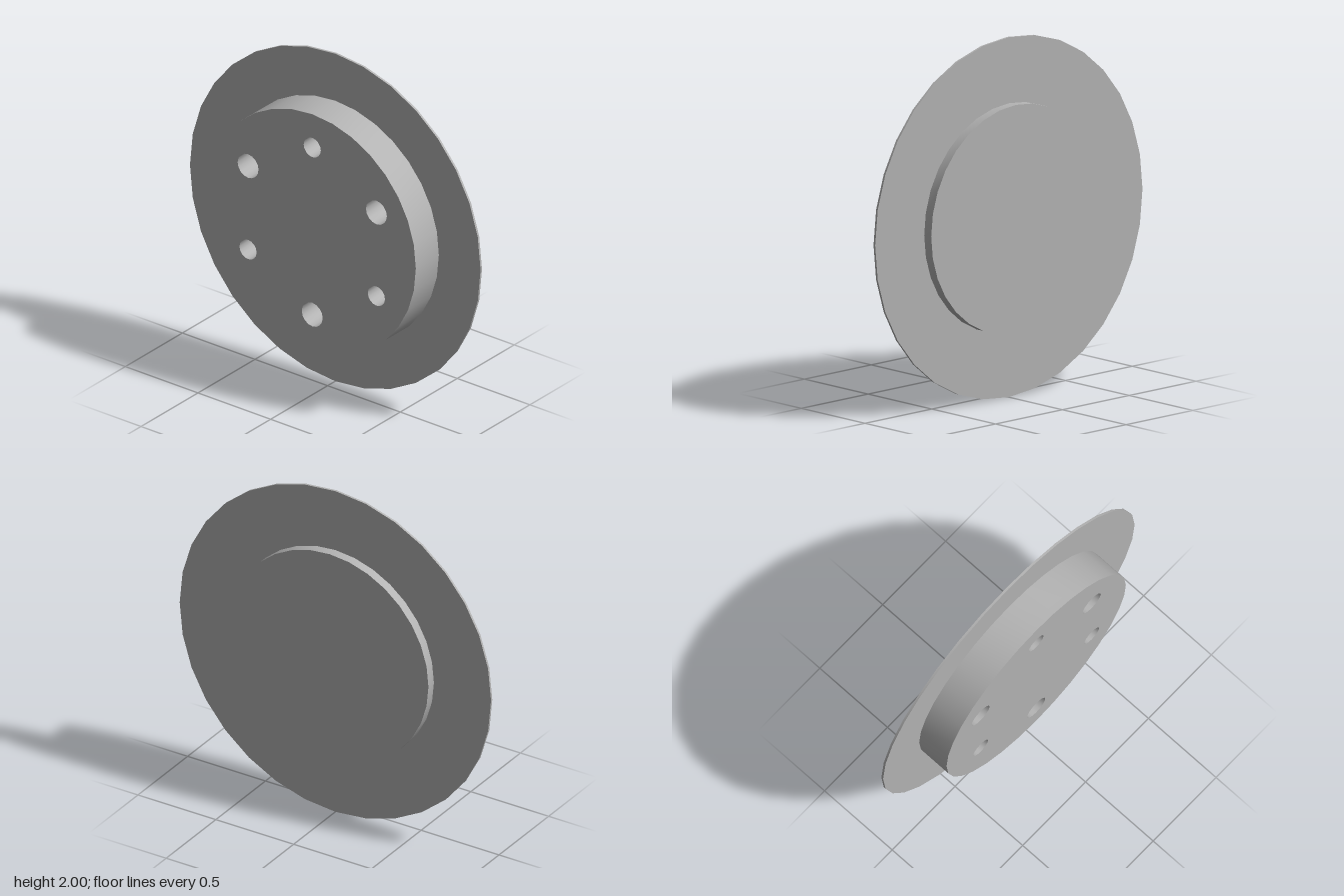
import * as THREE from 'three';
import { toCreasedNormals } from 'three/addons/utils/BufferGeometryUtils.js';

const SIDES = 32;

// Points of a regular polygon around (cx, cy)
function ring(radius, sides, cx = 0, cy = 0) {
  return Array.from({ length: sides }, (_, i) => {
    const a = (i / sides) * Math.PI * 2;
    return new THREE.Vector2(cx + radius * Math.cos(a), cy + radius * Math.sin(a));
  });
}

// Disc facing +z between two depths, with optional bores
function disc(name, radius, zBack, zFront, material, holes = []) {
  const shape = new THREE.Shape(ring(radius, SIDES));
  for (const h of holes) shape.holes.push(new THREE.Path(ring(h.r, 16, h.x, h.y)));
  const solid = new THREE.ExtrudeGeometry(shape, { depth: zFront - zBack, bevelEnabled: false });
  const mesh = new THREE.Mesh(toCreasedNormals(solid, 0.5), material);
  mesh.name = name;
  mesh.position.set(0, 1, zBack);
  return mesh;
}

export function createModel() {
  const grey = new THREE.MeshStandardMaterial({ color: 0xb4b4b4 });
  grey.name = 'plain grey';

  // Six blind bores, alternately small and large, starting at the top
  const bores = Array.from({ length: 6 }, (_, i) => {
    const a = Math.PI / 2 + (i * Math.PI) / 3;
    return { x: 0.51 * Math.cos(a), y: 0.51 * Math.sin(a), r: i % 2 ? 0.072 : 0.059 };
  });

  const model = new THREE.Group();
  model.name = 'flangedDisc';
  model.add(
    disc('frontHub', 0.713, -0.067, 0.135, grey, bores),
    disc('flange', 1, -0.08, -0.067, grey),
    disc('rearBoss', 0.633, -0.135, -0.08, grey),
  );
  return model;
}
